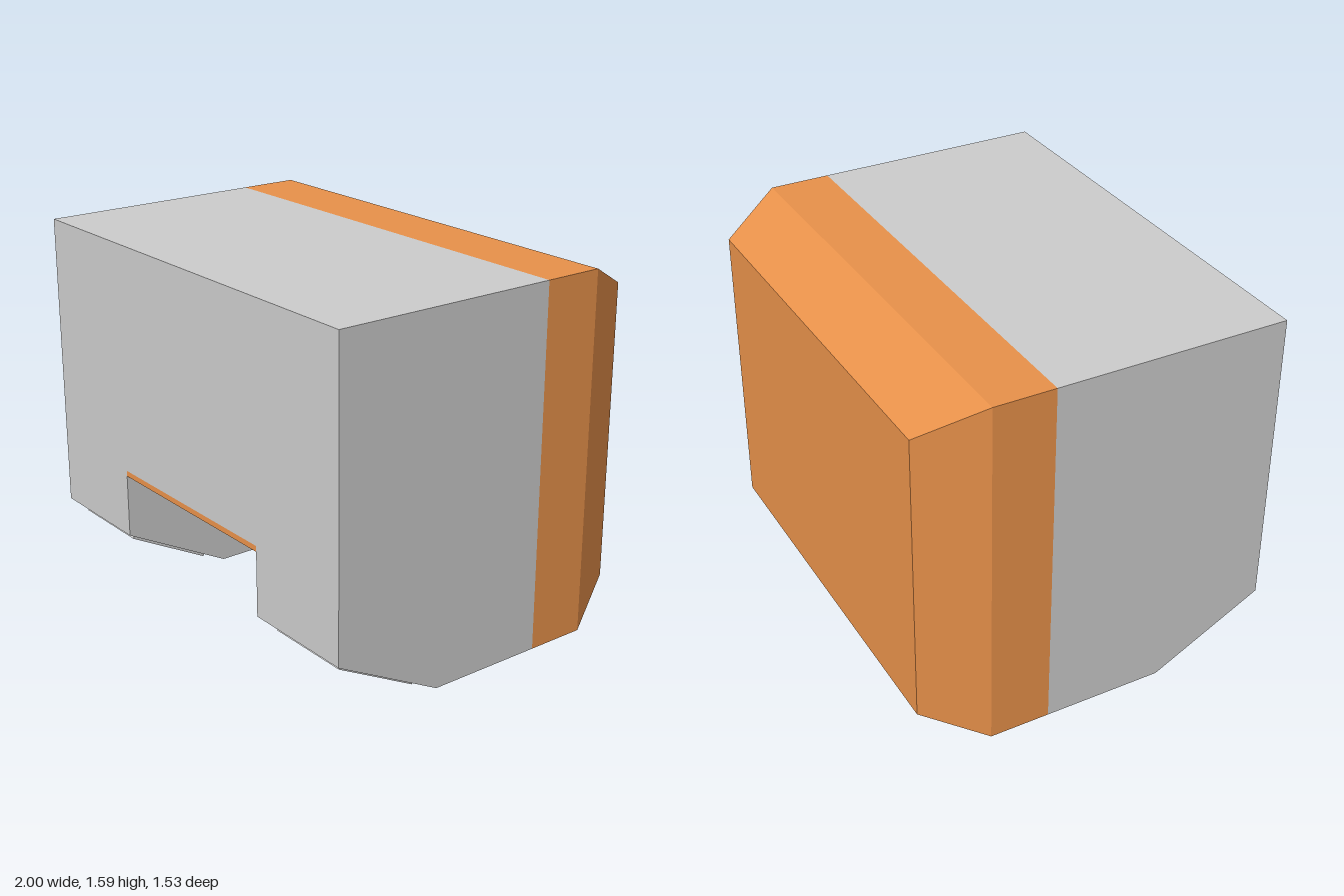
import * as THREE from 'three';
import { mergeGeometries } from 'three/addons/utils/BufferGeometryUtils.js';

const mat = (color) => new THREE.MeshStandardMaterial({ color, flatShading: true });
const grey = mat(0xcccccc), orange = mat(0xe8914a), blue = mat(0x0099dd);

function add(parent, name, geometry, material, x = 0, y = 0, z = 0) {
  const mesh = new THREE.Mesh(geometry, material);
  mesh.name = name;
  mesh.position.set(x, y, z);
  parent.add(mesh);
  return mesh;
}

const shapeOf = (pts) => new THREE.Shape(pts.map(([a, b]) => new THREE.Vector2(a, b)));

// Extrude an outline in x,y along z in two steps, then move its vertices by a rule
function shell(pts, z0, z1, rule) {
  const g = new THREE.ExtrudeGeometry(shapeOf(pts), { depth: z1 - z0, steps: 2, bevelEnabled: false });
  g.translate(0, 0, z0);
  const p = g.attributes.position, v = new THREE.Vector3();
  for (let i = 0; i < p.count; i++) {
    v.fromBufferAttribute(p, i);
    rule(v);
    p.setXYZ(i, v.x, v.y, v.z);
  }
  g.computeVertexNormals();
  return g;
}

// Extrude an outline in z,y sideways from x0 to x1
function profile(pts, x0, x1) {
  const g = new THREE.ExtrudeGeometry(shapeOf(pts), { depth: x1 - x0, bevelEnabled: false });
  return g.rotateY(-Math.PI / 2).translate(x1, 0, 0);
}

// Group lying on a sloping underside: local y runs up the slope, local z points outward
function slopeGroup(parent, name, y, z, rise, run) {
  const g = new THREE.Group();
  g.name = name;
  g.position.set(0, y, z);
  g.rotation.x = Math.atan2(run, rise);
  parent.add(g);
  return g;
}

export function createModel() {
  const model = new THREE.Group();
  const zF = 0.765, zMid = -0.24, yB = 0.025, yT = 1.59, arch = 0.585;

  // Front housing with a central arch and chamfered feet
  const outline = [[-1, yB], [-0.48, yB], [-0.48, arch], [0.48, arch], [0.48, yB], [1, yB], [1, yT], [-1, yT]];
  add(model, 'frontHousing', shell(outline, zMid, zF, (v) => {
    if (v.z > 0.7) { if (v.y < 0.1) v.y = 0.28; }
    else if (v.z > 0) v.z = 0.28;
  }), grey);

  // Rear cover, tapered on all four sides
  const yC = (yB + yT) / 2;
  add(model, 'rearCover', shell([[-1, yB], [1, yB], [1, yT], [-1, yT]], -zF, zMid, (v) => {
    if (v.z < -0.7) { v.x *= 0.87; v.y = yC + (v.y - yC) * 0.834; }
  }), orange);

  // Sloping panel under the arch, with two niches
  const plain = [[zMid, 0.045], [-0.205, 0.045], [zF, 0.56], [zF, arch], [zMid, arch]];
  const n = { x0: 0.13, x1: 0.395, zb: 0.068, zt: 0.501, yb: 0.19, yt: 0.42 };
  const notched = [...plain.slice(0, 2), [n.zb, n.yb], [n.zb, n.yt], [n.zt, n.yt], ...plain.slice(2)];
  add(model, 'slopingPanel', mergeGeometries([
    profile(plain, -0.48, -n.x1), profile(notched, -n.x1, -n.x0), profile(plain, -n.x0, n.x0),
    profile(notched, n.x0, n.x1), profile(plain, n.x1, 0.48),
  ]), orange);
  add(model, 'panelLip', new THREE.BoxGeometry(0.96, 0.02, 0.035), grey, 0, 0.035, -0.2225);

  const panel = slopeGroup(model, 'panelFittings', 0.3025, 0.28, 0.515, 0.97);
  const w = n.x1 - n.x0, t = 0.008;
  const lip = new THREE.ExtrudeGeometry(
    shapeOf([[-w / 2, 0], [w / 2, 0], [w / 2 - 0.025, 0.05], [-w / 2 + 0.025, 0.05]]),
    { depth: 0.01, bevelEnabled: false });
  for (const s of [-1, 1]) {
    const cx = s * (n.x0 + n.x1) / 2;
    // Niche lining: back, ceiling and two cheeks
    const niche = new THREE.Group();
    niche.name = s > 0 ? 'leftNiche' : 'rightNiche';
    model.add(niche);
    add(niche, 'nicheBack', new THREE.BoxGeometry(w, n.yt - n.yb, t), grey, cx, (n.yb + n.yt) / 2, n.zb + t / 2);
    add(niche, 'nicheCeiling', new THREE.BoxGeometry(w, t, n.zt - n.zb), grey, cx, n.yt - t / 2, (n.zb + n.zt) / 2);
    const cheek = [[n.zb, n.yb], [n.zt, n.yt], [n.zb, n.yt]];
    add(niche, 'nicheCheek', profile(cheek, cx - w / 2, cx - w / 2 + t), grey);
    add(niche, 'nicheCheek', profile(cheek, cx + w / 2 - t, cx + w / 2), grey);
    // Rims with clipped corners above and below the niche
    add(panel, 'upperRim', lip, grey, cx, 0.245, 0);
    add(panel, 'lowerRim', lip, grey, cx, -0.245, 0).rotation.z = Math.PI;
    panel.children[panel.children.length - 1].position.z = 0.01;
    panel.children[panel.children.length - 1].rotation.set(0, Math.PI, Math.PI);
    panel.children[panel.children.length - 1].rotation.set(Math.PI, 0, 0);
    // Handle bar
    add(panel, 'handle', new THREE.BoxGeometry(0.02, 0.45, 0.025), grey, s * 0.032, -0.01, 0.0125);
  }

  // Pads on the chamfered and flat undersides of the feet
  const chamfer = slopeGroup(model, 'chamferPads', 0.1525, 0.5225, 0.255, 0.485);
  for (const s of [-1, 1]) {
    add(chamfer, 'chamferPad', new THREE.BoxGeometry(0.395, 0.41, 0.022), grey, s * 0.7375, 0, 0.011);
  }
  add(model, 'rightFootPad', new THREE.BoxGeometry(0.395, 0.025, 0.385), grey, -0.7375, 0.0125, 0.02);
  add(model, 'leftFootPad', new THREE.BoxGeometry(0.26, 0.025, 0.385), grey, 0.74, 0.0125, 0.02);
  add(model, 'bluePatch', new THREE.BoxGeometry(0.16, 0.004, 0.07), blue, 0.715, 0.002 - 0.001, 0.12);

  return model;
}
